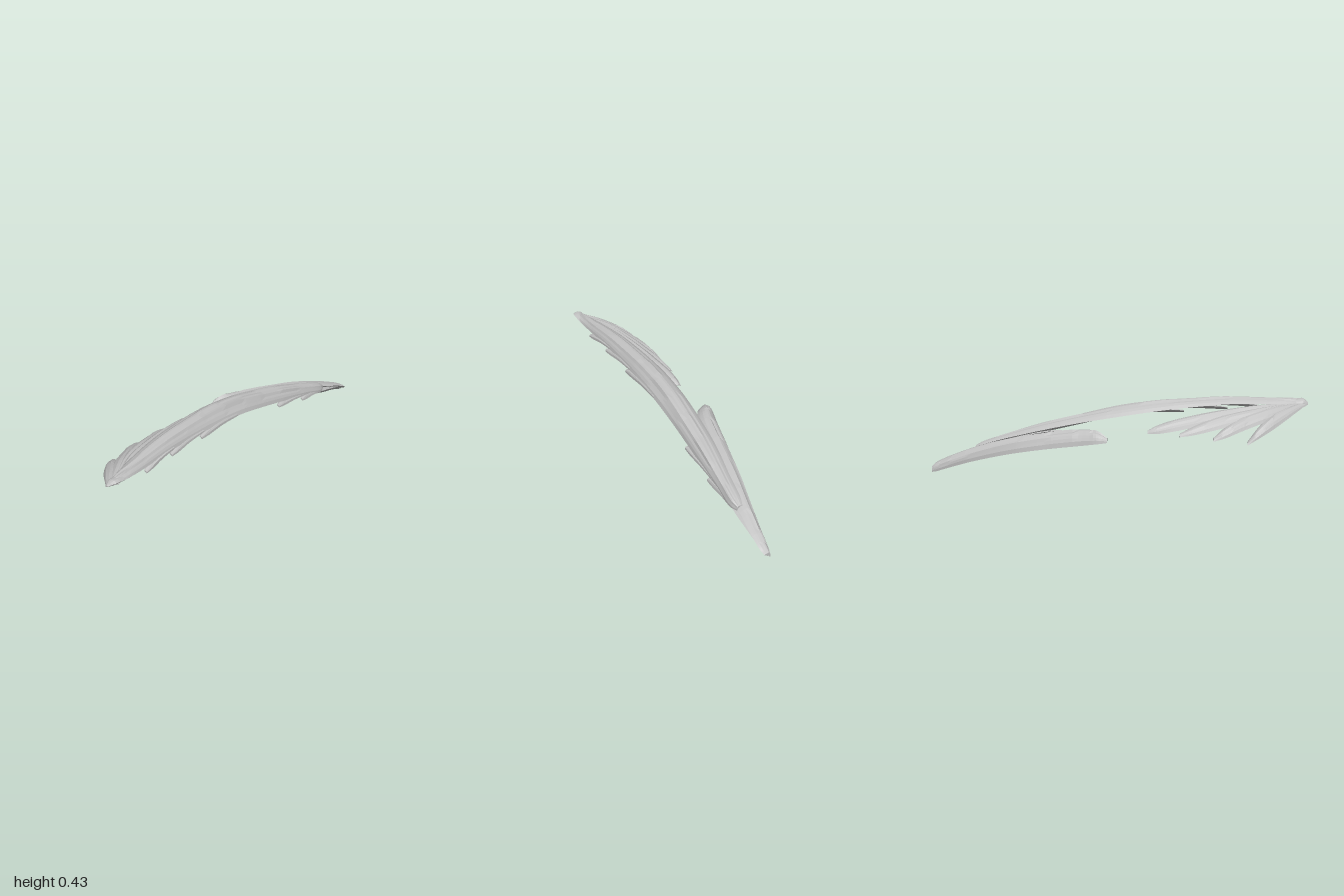
import * as THREE from 'three';

// Curved shell lofted through stations [z, leftX, leftY, rightX, rightY], ordered front to back
function strand(name, material, stations, { bulge, thick, rows = 36, cols = 10, seed = 1 }) {
  const edge = (k) => new THREE.CatmullRomCurve3(
    stations.map((s) => new THREE.Vector3(s[k], s[k + 1], s[0])), false, 'centripetal');
  const left = edge(1), right = edge(3);
  const pos = [], index = [], ring = cols * 2;
  const noise = (a, b) => {
    const v = Math.sin(a * 12.99 + b * 78.23 + seed * 37.7) * 43758.55;
    return v - Math.floor(v) - 0.5;
  };
  const maxWidth = Math.max(...stations.map((s) => Math.hypot(s[3] - s[1], s[4] - s[2])));

  for (let i = 0; i <= rows; i++) {
    const l = left.getPoint(i / rows), r = right.getPoint(i / rows);
    const w = r.clone().sub(l);
    const n = new THREE.Vector3(-w.y, w.x, 0).normalize();
    const scale = Math.min(1, w.length() / maxWidth);
    for (let j = 0; j < ring; j++) {
      const top = j < cols;
      const u = top ? j / cols : (ring - j) / cols;
      const arch = Math.max(0, Math.sin(Math.PI * u));
      // shallow lengthwise grooves, wandering slightly
      const groove = arch * thick * (0.22 * noise(j, 1) + 0.16 * noise(j, Math.floor(i / 4)));
      const off = scale * (arch * bulge + (top ? 0.5 : -0.5) * thick * Math.sqrt(arch) + groove);
      const p = l.clone().addScaledVector(w, u).addScaledVector(n, off);
      pos.push(p.x, Math.max(0, p.y), p.z);
    }
  }
  for (let i = 0; i < rows; i++) {
    for (let j = 0; j < ring; j++) {
      const a = i * ring + j, b = i * ring + (j + 1) % ring;
      index.push(a, b, a + ring, b, b + ring, a + ring);
    }
  }
  // end caps, joining the upper and lower halves of the section
  const last = rows * ring;
  for (let j = 0; j < cols; j++) {
    const t0 = j, t1 = j + 1, b0 = (ring - j) % ring, b1 = ring - j - 1;
    index.push(t0, b0, t1, t1, b0, b1);
    index.push(last + t0, last + t1, last + b0, last + t1, last + b1, last + b0);
  }
  const geo = new THREE.BufferGeometry();
  geo.setAttribute('position', new THREE.Float32BufferAttribute(pos, 3));
  geo.setIndex(index);
  const flat = geo.toNonIndexed();
  flat.computeVertexNormals();
  const mesh = new THREE.Mesh(flat, material);
  mesh.name = name;
  return mesh;
}

// Long arched main lock
const MAIN = [
  [0.98, 0.105, 0.375, 0.15, 0.40],
  [0.92, 0.085, 0.385, 0.15, 0.392],
  [0.8, 0.06, 0.397, 0.142, 0.378],
  [0.6, 0.03, 0.404, 0.134, 0.374],
  [0.4, 0.007, 0.393, 0.128, 0.36],
  [0.2, -0.01, 0.373, 0.128, 0.342],
  [0, -0.013, 0.342, 0.128, 0.312],
  [-0.2, 0, 0.304, 0.126, 0.264],
  [-0.4, 0.02, 0.257, 0.13, 0.215],
  [-0.6, 0.055, 0.2, 0.13, 0.162],
  [-0.72, 0.072, 0.162, 0.13, 0.126],
  [-0.76, 0.085, 0.145, 0.115, 0.124],
];

// Rear lock, sweeping out from the low back end
const REAR = [
  [-0.05, -0.135, 0.238, -0.1, 0.25],
  [-0.1, -0.138, 0.232, -0.05, 0.264],
  [-0.2, -0.112, 0.213, 0.003, 0.256],
  [-0.4, -0.064, 0.176, 0.05, 0.222],
  [-0.6, -0.014, 0.13, 0.085, 0.182],
  [-0.8, 0.038, 0.07, 0.116, 0.12],
  [-0.93, 0.066, 0.024, 0.125, 0.068],
  [-0.98, 0.074, 0.007, 0.122, 0.043],
  [-1, 0.078, 0.003, 0.112, 0.025],
];

// Shorter locks stepping out beneath the rear lock
const UNDER = [
  [
    [-0.55, 0.04, 0.142, 0.088, 0.15], [-0.6, 0.025, 0.13, 0.098, 0.146],
    [-0.72, 0.04, 0.09, 0.108, 0.122], [-0.85, 0.06, 0.056, 0.112, 0.092],
  ],
  [
    [-0.73, 0.066, 0.086, 0.122, 0.118], [-0.78, 0.06, 0.07, 0.126, 0.108],
    [-0.86, 0.06, 0.046, 0.125, 0.086], [-0.95, 0.07, 0.022, 0.12, 0.055],
  ],
];

// Fan of four pointed locks under the front end, longest last
const FAN = [
  [
    [0.99, 0.1, 0.383, 0.13, 0.39], [0.9, 0, 0.348, 0.08, 0.38],
    [0.8, -0.088, 0.302, 0.008, 0.358], [0.72, -0.133, 0.264, -0.08, 0.307],
    [0.665, -0.148, 0.234, -0.12, 0.244],
  ],
  [
    [0.97, 0.09, 0.375, 0.135, 0.385], [0.8, -0.035, 0.34, 0.055, 0.38],
    [0.65, -0.108, 0.302, -0.015, 0.353], [0.55, -0.145, 0.27, -0.088, 0.31],
    [0.49, -0.156, 0.255, -0.13, 0.266],
  ],
  [
    [0.96, 0.095, 0.375, 0.14, 0.385], [0.75, -0.035, 0.345, 0.06, 0.38],
    [0.55, -0.096, 0.311, 0, 0.356], [0.4, -0.128, 0.282, -0.07, 0.316],
    [0.32, -0.134, 0.271, -0.108, 0.282],
  ],
  [
    [0.95, 0.1, 0.372, 0.145, 0.385], [0.75, 0, 0.362, 0.075, 0.386],
    [0.5, -0.062, 0.327, 0.025, 0.364], [0.3, -0.1, 0.293, -0.015, 0.33],
    [0.2, -0.103, 0.278, -0.05, 0.306], [0.155, -0.095, 0.276, -0.07, 0.285],
  ],
];

// Side of the main lock at a given z, used to seat the fringe
function mainEdge(z) {
  let i = 0;
  while (i < MAIN.length - 2 && MAIN[i + 1][0] > z) i++;
  const a = MAIN[i], b = MAIN[i + 1];
  const t = THREE.MathUtils.clamp((a[0] - z) / (a[0] - b[0]), 0, 1);
  return [THREE.MathUtils.lerp(a[3], b[3], t), THREE.MathUtils.lerp(a[4], b[4], t)];
}

export function createModel() {
  const model = new THREE.Group();
  model.name = 'featheredLocks';
  const grey = new THREE.MeshStandardMaterial({ color: 0xc0c0c0, flatShading: true, side: THREE.DoubleSide });
  grey.name = 'pale grey';

  model.add(strand('mainLock', grey, MAIN, { bulge: 0.039, thick: 0.036, rows: 56, cols: 12, seed: 2 }));
  model.add(strand('rearLock', grey, REAR, { bulge: 0.028, thick: 0.046, rows: 44, cols: 10, seed: 5 }));
  UNDER.forEach((s, i) => model.add(
    strand('underLock' + (i + 1), grey, s, { bulge: 0.004, thick: 0.022, rows: 14, cols: 6, seed: 40 + i })));

  const fan = new THREE.Group();
  fan.name = 'frontFan';
  FAN.forEach((s, i) => fan.add(
    strand('fanLock' + (i + 1), grey, s, { bulge: 0.012, thick: 0.025, rows: 24, cols: 7, seed: 8 + i })));
  model.add(fan);

  // Overlapping tufts along the outer edge [tip z, length], tips toward the front
  const fringe = new THREE.Group();
  fringe.name = 'sideFringe';
  [[0.77, 0.22], [0.58, 0.26], [0.35, 0.3], [-0.3, 0.26], [-0.52, 0.2]].forEach(([z, length], i) => {
    const stations = [[0, -0.006, -0.014, 0.01, -0.026], [0.2, -0.022, 0, 0.01, -0.022],
      [0.55, -0.026, 0.01, 0.005, -0.01], [1, -0.02, 0.014, 0, 0]].map(([t, lx, ly, rx, ry]) => {
      const d = t * length;
      const [x, y] = mainEdge(z - d);
      return [z - d, x + lx, y + ly, x + rx, y + ry];
    });
    fringe.add(strand('tuft' + (i + 1), grey, stations, { bulge: 0.006, thick: 0.014, rows: 10, cols: 5, seed: 20 + i }));
  });
  model.add(fringe);

  // Blunt tip where the locks meet at the front
  model.add(strand('frontTip', grey, [
    [1, 0.108, 0.383, 0.125, 0.39], [0.97, 0.092, 0.372, 0.154, 0.405], [0.88, 0.08, 0.375, 0.148, 0.385],
  ], { bulge: 0.008, thick: 0.028, rows: 8, cols: 6, seed: 30 }));
  return model;
}
